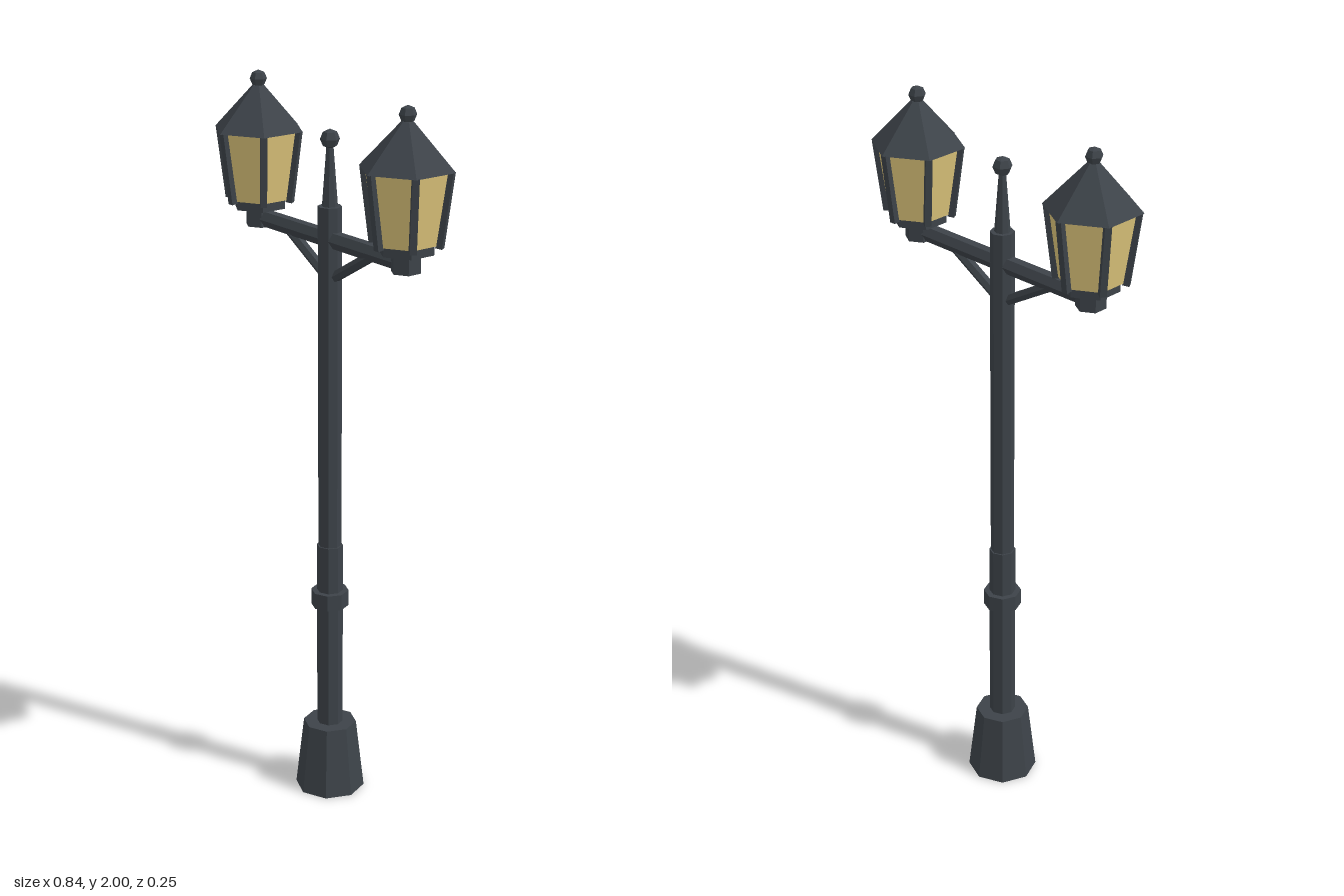
import * as THREE from 'three';

export function createModel() {
  const iron = new THREE.MeshStandardMaterial({ color: 0x3d4349, flatShading: true });
  iron.name = 'dark iron';
  const amber = new THREE.MeshStandardMaterial({ color: 0xdcc47a, flatShading: true });
  amber.name = 'amber glass';

  const model = new THREE.Group();
  model.name = 'doubleStreetLamp';

  const add = (parent, name, geometry, material = iron) => {
    const mesh = new THREE.Mesh(geometry, material);
    mesh.name = name;
    parent.add(mesh);
    return mesh;
  };
  // Upright faceted section between two heights
  const section = (parent, name, rBottom, rTop, y0, y1, sides, material) => {
    const mesh = add(parent, name, new THREE.CylinderGeometry(rTop, rBottom, y1 - y0, sides), material);
    mesh.position.y = (y0 + y1) / 2;
    return mesh;
  };
  // Straight member running from a to b
  const strut = (parent, name, a, b, geometryFor) => {
    const dir = b.clone().sub(a);
    const mesh = add(parent, name, geometryFor(dir.length()));
    mesh.position.copy(a).add(b).multiplyScalar(0.5);
    mesh.quaternion.setFromUnitVectors(new THREE.Vector3(0, 1, 0), dir.normalize());
    return mesh;
  };
  const ball = (parent, name, r, y) => {
    add(parent, name, new THREE.SphereGeometry(r, 6, 4)).position.y = y;
  };

  // Post
  section(model, 'base', 0.097, 0.074, 0, 0.2, 8);
  section(model, 'lowerPost', 0.036, 0.036, 0.2, 0.74, 8);
  section(model, 'postRing', 0.052, 0.052, 0.56, 0.605, 8);
  section(model, 'upperPost', 0.032, 0.032, 0.74, 1.69, 8);
  section(model, 'finialSpike', 0.021, 0.009, 1.69, 1.85, 8);
  ball(model, 'finialBall', 0.026, 1.866);

  // Cross arm
  const arm = add(model, 'crossArm', new THREE.CylinderGeometry(0.024, 0.024, 0.61, 6));
  arm.rotation.z = Math.PI / 2;
  arm.position.y = 1.603;

  for (const side of [-1, 1]) {
    const label = side > 0 ? 'left' : 'right';
    strut(model, label + 'Brace', new THREE.Vector3(0, 1.492, 0), new THREE.Vector3(side * 0.185, 1.6, 0),
      (len) => new THREE.CylinderGeometry(0.015, 0.015, len, 6));

    // Hexagonal lantern
    const lantern = new THREE.Group();
    lantern.name = label + 'Lantern';
    lantern.position.x = side * 0.307;
    model.add(lantern);
    section(lantern, 'cup', 0.04, 0.04, 1.58, 1.63, 6);
    section(lantern, 'lanternFloor', 0.074, 0.074, 1.63, 1.656, 6);
    section(lantern, 'glass', 0.087, 0.114, 1.656, 1.842, 6, amber);
    section(lantern, 'roof', 0.127, 0.016, 1.842, 1.96, 6);
    ball(lantern, 'roofBall', 0.023, 1.977);

    // Corner bars along the glass edges
    for (let i = 0; i < 6; i++) {
      const pivot = new THREE.Group();
      pivot.name = 'cornerBar' + (i + 1);
      pivot.rotation.y = (i * Math.PI) / 3;
      lantern.add(pivot);
      strut(pivot, 'bar', new THREE.Vector3(0, 1.65, 0.088), new THREE.Vector3(0, 1.844, 0.114),
        (len) => new THREE.BoxGeometry(0.018, len, 0.018));
    }
  }
  return model;
}
